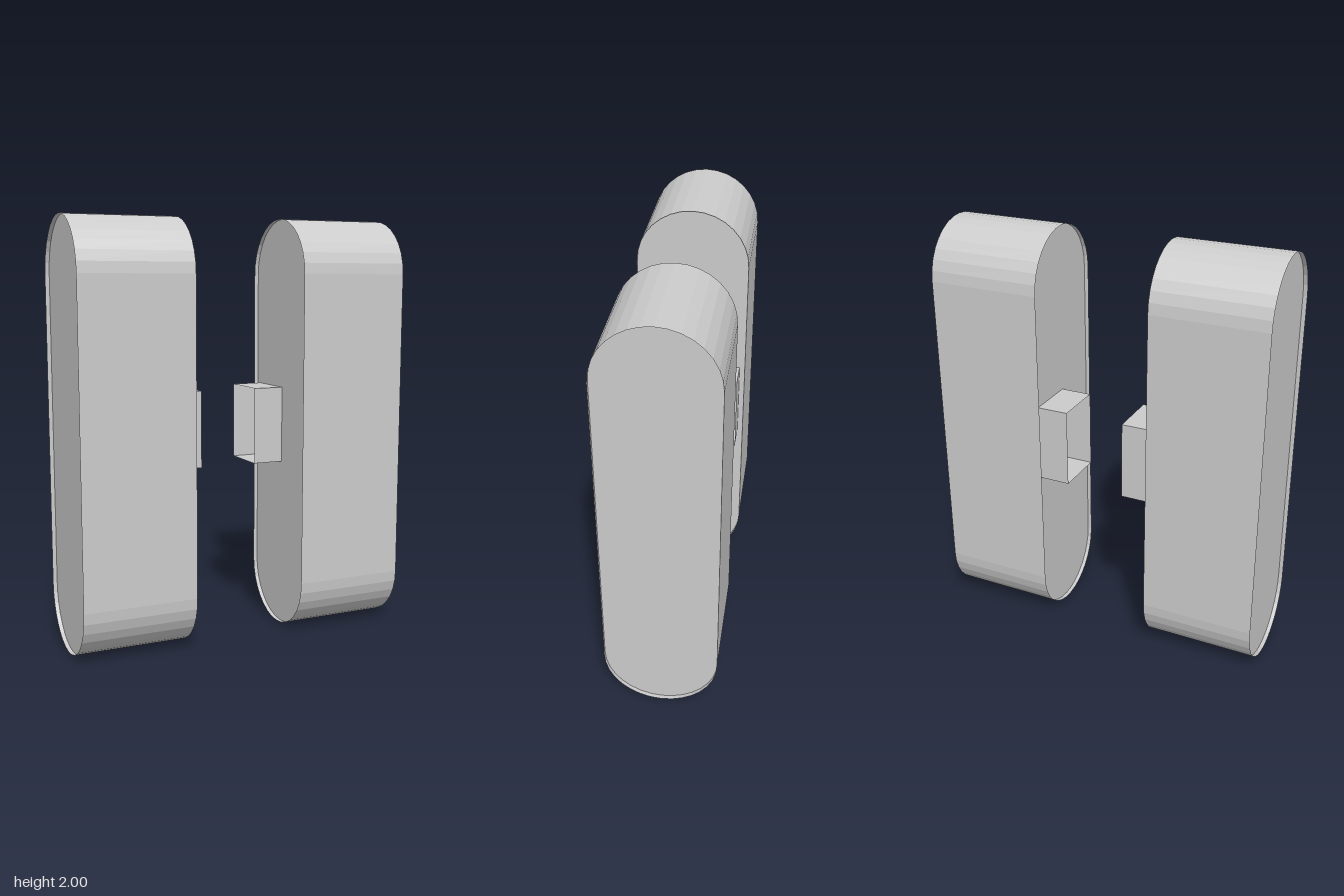
import * as THREE from 'three';

const R = 0.262, HEIGHT = 2;      // pod end radius and height
const INNER = 0.27, OUTER = 0.81; // pod extent along x
const RECESS = 0.02;              // how deep the end panels sit inside the rim

const material = new THREE.MeshStandardMaterial({
  color: 0xcccccc, flatShading: true, side: THREE.DoubleSide,
});

// Upright capsule outline in (z, y), 16 facets per rounded end
function capsuleOutline() {
  const pts = [];
  for (const [start, cy] of [[0, HEIGHT - R], [Math.PI, R]]) {
    for (let i = 0; i <= 16; i++) {
      const a = start + (i / 16) * Math.PI;
      pts.push(new THREE.Vector2(R * Math.cos(a), cy + R * Math.sin(a)));
    }
  }
  return pts;
}

// Open sleeve: a closed (z, y) outline swept from x0 to x1
function sleeve(pts, x0, x1) {
  const pos = [];
  pts.forEach((p, i) => {
    const q = pts[(i + 1) % pts.length];
    pos.push(x1, p.y, p.x, x1, q.y, q.x, x0, p.y, p.x);
    pos.push(x1, q.y, q.x, x0, q.y, q.x, x0, p.y, p.x);
  });
  const geo = new THREE.BufferGeometry();
  geo.setAttribute('position', new THREE.Float32BufferAttribute(pos, 3));
  geo.computeVertexNormals();
  return geo;
}

function addMesh(parent, name, geo) {
  const mesh = new THREE.Mesh(geo, material);
  mesh.name = name;
  parent.add(mesh);
  return mesh;
}

export function createModel() {
  const model = new THREE.Group();
  model.name = 'pairOfPods';
  const outline = capsuleOutline();
  const socketOutline = [[-0.235, 0.82], [0.008, 0.82], [0.008, 1.19], [-0.235, 1.19]]
    .map(([z, y]) => new THREE.Vector2(z, y));

  for (const [side, label] of [[1, 'left'], [-1, 'right']]) {
    const pod = new THREE.Group();
    pod.name = label + 'Pod';
    const span = (a, b) => [Math.min(side * a, side * b), Math.max(side * a, side * b)];

    // Thin rounded shell
    addMesh(pod, label + 'Shell', sleeve(outline, ...span(INNER, OUTER)));

    // Flat panels set just inside both rims
    for (const [name, x, facing] of [
      ['InnerPanel', INNER + RECESS, -side],
      ['OuterPanel', OUTER - RECESS, side],
    ]) {
      const geo = new THREE.ShapeGeometry(new THREE.Shape(outline));
      geo.rotateY(facing * Math.PI / 2);
      addMesh(pod, label + name, geo).position.x = side * x;
    }

    // Open rectangular socket on the inner panel
    addMesh(pod, label + 'Socket', sleeve(socketOutline, ...span(0.14, INNER + RECESS)));
    model.add(pod);
  }
  return model;
}
